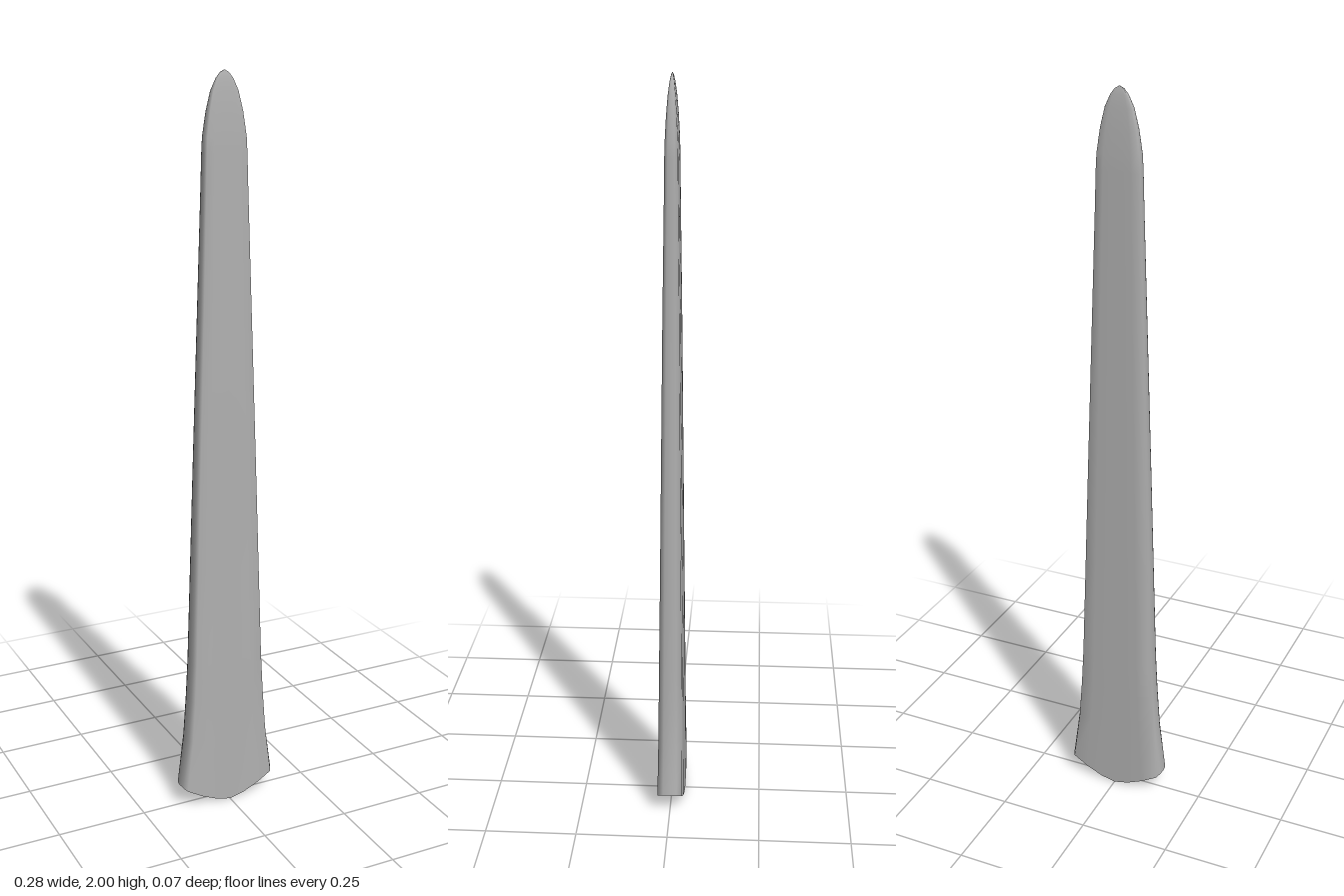
import * as THREE from 'three';

// Blade stations from base to tip: height, half width, half thickness
const STATIONS = [
  [0, 0.14, 0.037], [0.2, 0.121, 0.035], [0.32, 0.112, 0.034], [0.43, 0.106, 0.033],
  [0.7, 0.097, 0.03], [1, 0.087, 0.027], [1.4, 0.073, 0.023], [1.7, 0.063, 0.019],
  [1.8, 0.06, 0.018], [1.84, 0.058, 0.017], [1.9, 0.049, 0.014], [1.95, 0.037, 0.01],
  [1.98, 0.023, 0.006], [1.994, 0.012, 0.003], [2, 0.001, 0.0005],
];

// One quarter of the cross-section: rounded narrow side to broad flat face
const QUARTER = [[1, 0], [0.985, 0.5], [0.93, 0.93], [0.62, 0.985], [0.3, 1], [0, 1]];
const back = QUARTER.concat(QUARTER.slice(0, -1).reverse().map(([x, z]) => [-x, z]));
const SECTION = back.concat(back.slice(1, -1).reverse().map(([x, z]) => [x, -z]));

// A closed ring of points; the lowest one dips to a shallow point at the middle
function ring([y, w, d], inset, isBase) {
  const hw = Math.max(w - inset, 0.0005), hd = Math.max(d - inset, 0.0003);
  return SECTION.map(([x, z]) => [
    x * hw,
    isBase ? 0.06 * Math.pow(Math.abs(x), 1.5) : y,
    -z * hd,
  ]);
}

// Skin a stack of rings; flip turns the faces the other way
function loft(rings, flip) {
  const n = SECTION.length, index = [];
  for (let i = 0; i < rings.length - 1; i++) {
    for (let j = 0; j < n; j++) {
      const k = (j + 1) % n;
      const a = i * n + j, b = i * n + k, c = a + n, d = b + n;
      if (flip) index.push(a, d, b, a, c, d);
      else index.push(a, b, d, a, d, c);
    }
  }
  const geometry = new THREE.BufferGeometry();
  geometry.setAttribute('position', new THREE.Float32BufferAttribute(rings.flat(2), 3));
  geometry.setIndex(index);
  geometry.computeVertexNormals();
  return geometry;
}

export function createModel() {
  const group = new THREE.Group();
  group.name = 'blade';
  const grey = new THREE.MeshStandardMaterial({ color: 0xb0b0b0 });
  grey.name = 'plain grey';

  const add = (name, geometry) => {
    const mesh = new THREE.Mesh(geometry, grey);
    mesh.name = name;
    group.add(mesh);
  };

  const wall = 0.004;
  const outer = STATIONS.map((s, i) => ring(s, 0, i === 0));
  const inner = STATIONS.slice(0, 11).map((s, i) => ring(s, wall, i === 0));
  inner.push(ring([1.96, 0, 0], 0, false)); // closed end of the hollow

  add('bladeSurface', loft(outer, false));
  add('hollowLining', loft(inner, true));
  add('baseRim', loft([outer[0], inner[0]], true));
  return group;
}
